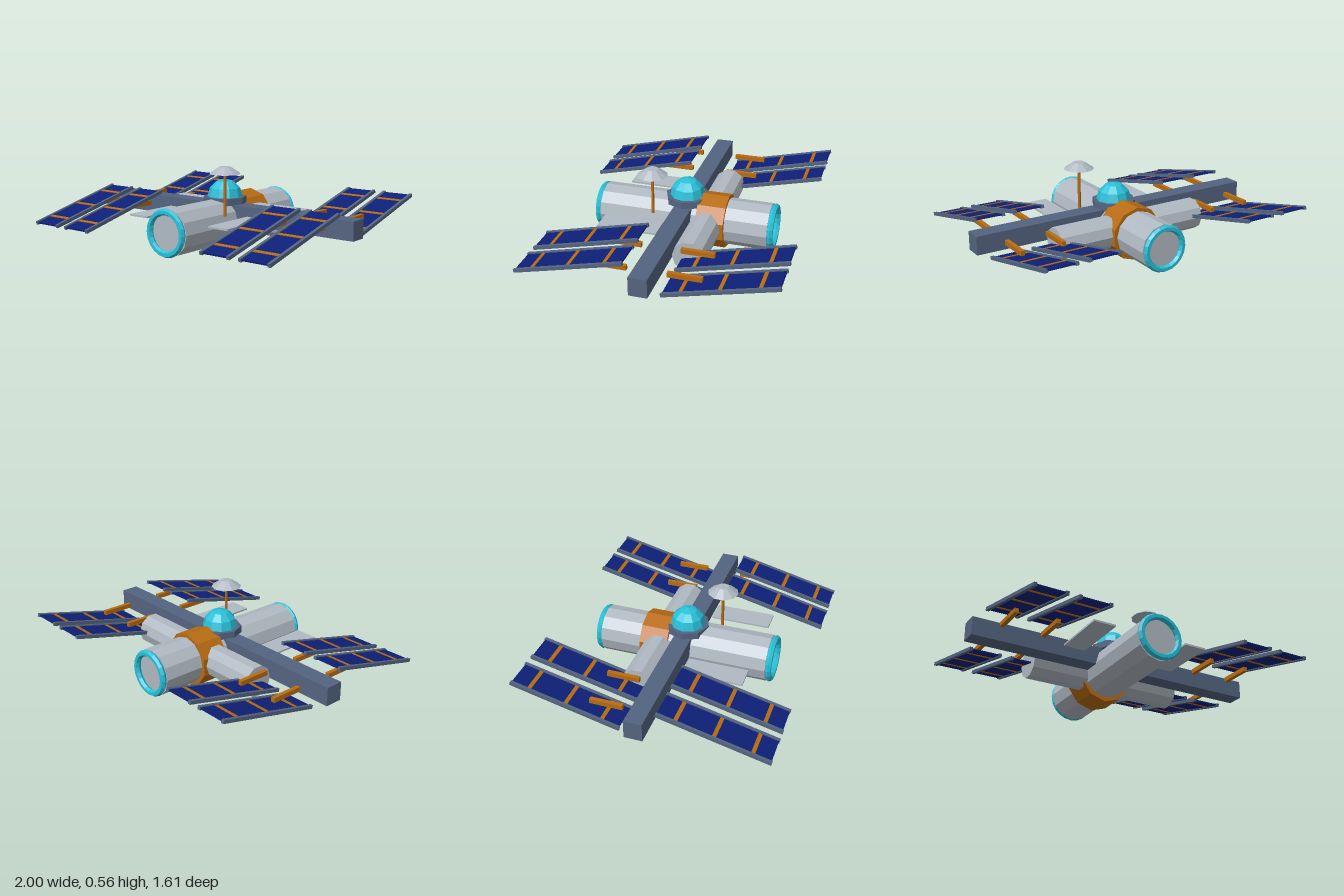
import * as THREE from 'three';

const paint = (name, color) => {
  const m = new THREE.MeshStandardMaterial({ color, flatShading: true });
  m.name = name;
  return m;
};

export function createModel() {
  const hull = paint('hull grey', 0xb0b9c2);
  const slate = paint('truss slate', 0x546480);
  const teal = paint('teal', 0x28c0d8);
  const orange = paint('orange', 0xb86c12);
  const blue = paint('solar blue', 0x0e2078);

  const station = new THREE.Group();
  station.name = 'spaceStation';

  const add = (parent, name, geometry, material, x = 0, y = 0, z = 0) => {
    const mesh = new THREE.Mesh(geometry, material);
    mesh.name = name;
    mesh.position.set(x, y, z);
    parent.add(mesh);
    return mesh;
  };
  const box = (w, h, d) => new THREE.BoxGeometry(w, h, d);
  const cyl = (top, bottom, h, sides) => new THREE.CylinderGeometry(top, bottom, h, sides);

  const axisY = 0.18;

  // Pressure modules: long body, crossing laboratory, connecting node
  add(station, 'mainModule', cyl(0.152, 0.152, 1.12, 12).rotateX(Math.PI / 2), hull, 0, axisY, 0);
  add(station, 'crossModule', cyl(0.104, 0.104, 1.055, 10).rotateZ(Math.PI / 2), hull, 0, axisY + 0.004, -0.158);
  add(station, 'connectingNode', cyl(0.178, 0.178, 0.185, 10).rotateX(Math.PI / 2), orange, 0, 0.178, -0.188);

  // Docking rings at both ends
  for (const side of [1, -1]) {
    add(station, 'dockingRing', new THREE.TorusGeometry(0.132, 0.021, 6, 20), teal, 0, axisY, side * 0.578);
  }

  // Truss beam
  add(station, 'truss', box(2, 0.12, 0.115), slate, 0, 0.235, 0);

  // Observation dome on its collar
  add(station, 'domeCollar', cyl(0.142, 0.142, 0.045, 8), slate, 0, 0.315, 0);
  add(station, 'dome', new THREE.SphereGeometry(0.114, 10, 3, 0, Math.PI * 2, 0, Math.PI / 2), teal, 0, 0.337, 0);

  // Antenna
  add(station, 'antennaMast', cyl(0.01, 0.01, 0.28, 6), orange, 0.15, 0.385, 0.19);
  add(station, 'antennaDish', cyl(0.037, 0.1, 0.044, 10), hull, 0.15, 0.539, 0.19);

  // Radiators
  for (const side of [1, -1]) {
    add(station, 'radiator', box(0.15, 0.012, 0.39), hull, side * 0.325, 0.235, 0.285);
  }

  // One solar wing: blue sheet, side rails and cross bars
  const solarWing = () => {
    const wing = new THREE.Group();
    wing.name = 'solarWing';
    add(wing, 'solarSheet', box(0.18, 0.01, 0.7), blue);
    for (const side of [1, -1]) add(wing, 'wingRail', box(0.02, 0.022, 0.71), slate, side * 0.096);
    for (const z of [-0.237, 0, 0.237]) add(wing, 'crossBar', box(0.174, 0.016, 0.024), orange, 0, 0, z);
    return wing;
  };

  // Eight tilted wings, each with a strut towards the truss
  for (const x of [-0.834, -0.561, 0.561, 0.834]) {
    for (const side of [1, -1]) {
      const wing = solarWing();
      wing.position.set(x, 0.25, side * 0.458);
      wing.rotation.x = 0.24;
      station.add(wing);
      add(station, 'wingStrut', box(0.027, 0.03, 0.212), orange, x, 0.25, side * 0.23);
    }
  }

  return station;
}
